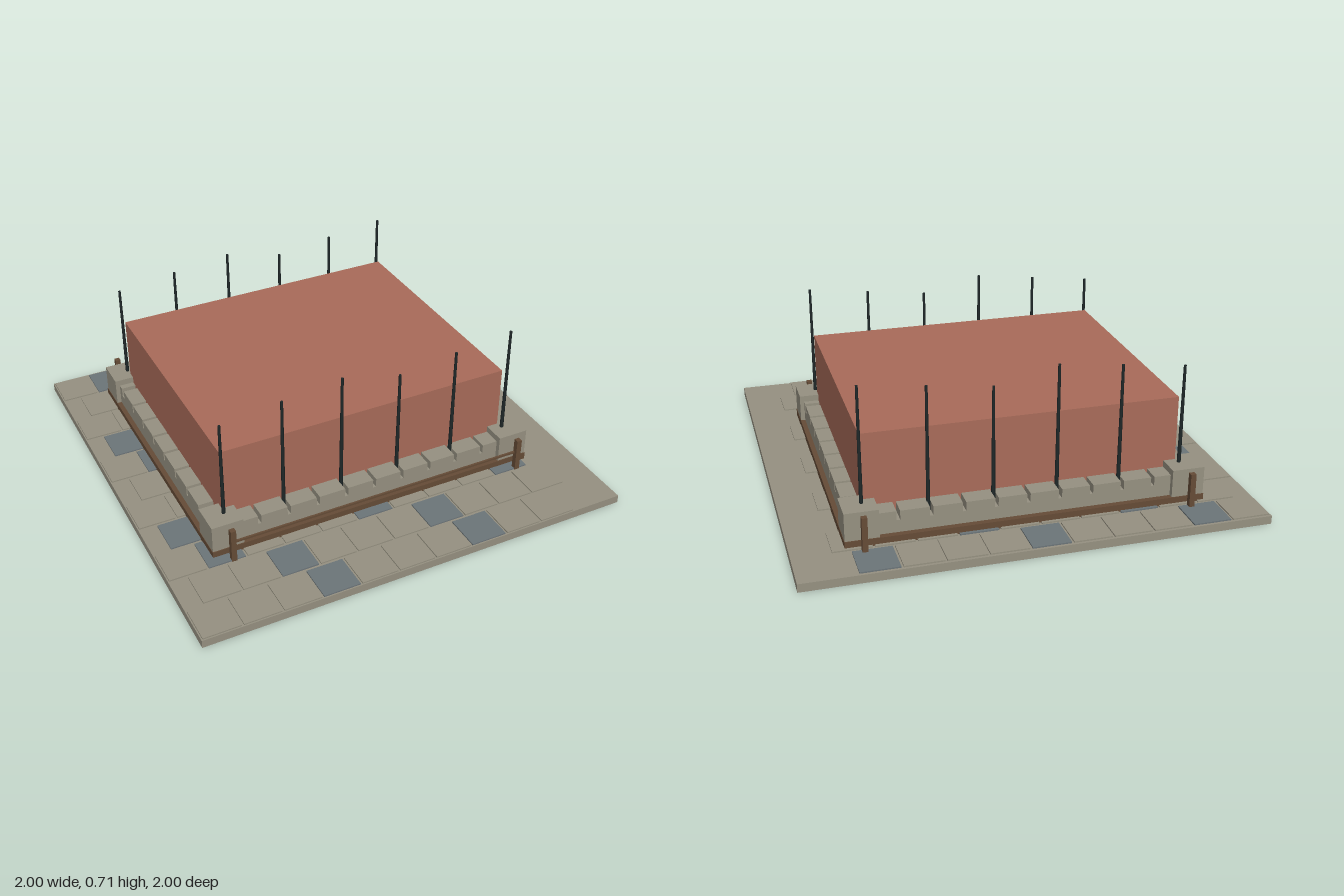
import * as THREE from 'three';

const paint = (name, color) => {
  const m = new THREE.MeshStandardMaterial({ color });
  m.name = name;
  return m;
};

export function createModel() {
  const stone = paint('stone', 0x979282);
  const slate = paint('blue slate', 0x6d767a);
  const brick = paint('red clay', 0xaa6c5a);
  const wood = paint('dark wood', 0x664c37);
  const iron = paint('black iron', 0x1f2829);

  const model = new THREE.Group();
  model.name = 'courtyardEnclosure';
  const group = (name) => {
    const g = new THREE.Group();
    g.name = name;
    model.add(g);
    return g;
  };
  // Box given by its limits on each axis
  const box = (parent, name, mat, [x0, x1], [y0, y1], [z0, z1]) => {
    const mesh = new THREE.Mesh(new THREE.BoxGeometry(x1 - x0, y1 - y0, z1 - z0), mat);
    mesh.position.set((x0 + x1) / 2, (y0 + y1) / 2, (z0 + z1) / 2);
    mesh.name = name;
    parent.add(mesh);
  };

  const GROUND = 0.037, CZ = -0.105; // slab top, centre of the enclosure in z
  box(model, 'groundSlab', stone, [-1, 1], [0, GROUND], [-1, 1]);

  // Paving in staggered rows, every fourth stone is slate
  const paving = group('paving');
  for (let row = 0; row < 11; row++) {
    for (let col = 0; col < 10; col++) {
      const x = (row % 2 ? -0.917 : -0.994) + col * 0.176;
      const z = -0.988 + row * 0.1816;
      const blue = col % 4 === (row + 1) % 4;
      box(paving, blue ? 'slatePaver' : 'stonePaver', blue ? slate : stone,
        [x, x + 0.166], [GROUND - 0.005, GROUND + 0.006], [z, z + 0.166]);
    }
  }

  // Large clay block in the middle
  box(model, 'clayBlock', brick, [-0.688, 0.688], [GROUND, 0.487], [CZ - 0.578, CZ + 0.578]);

  const sills = group('timberSills');
  const walls = group('lowWalls');
  const corners = group('cornerBlocks');
  const posts = group('posts');
  const rods = group('ironRods');

  for (const s of [-1, 1]) {
    const span = (a, b, c = 0) => (s > 0 ? [c + a, c + b] : [c - b, c - a]);

    // Timber sills below the walls
    box(sills, 'longSill', wood, [-0.78, 0.78], [GROUND, 0.07], span(0.58, 0.688, CZ));
    box(sills, 'sideSill', wood, span(0.69, 0.78), [GROUND, 0.07], [CZ - 0.58, CZ + 0.58]);

    // Wall courses with separate capping stones
    box(walls, 'longCourse', stone, [-0.64, 0.64], [0.07, 0.125], span(0.57, 0.662, CZ));
    box(walls, 'sideCourse', stone, span(0.68, 0.758), [0.07, 0.125], [CZ - 0.545, CZ + 0.545]);
    for (let i = 0; i < 10; i++) {
      const x = (i - 4.5) * 0.138;
      box(walls, 'longCap', stone, [x - 0.0615, x + 0.0615], [0.125, 0.166], span(0.579, 0.662, CZ));
    }
    for (let i = 0; i < 9; i++) {
      const z = CZ + (i - 4) * 0.14;
      const h = i % 8 ? 0.0625 : 0.05;
      box(walls, 'sideCap', stone, span(0.689, 0.758), [0.125, 0.166], [z - h, z + h]);
    }

    for (const t of [-1, 1]) {
      const z = t > 0 ? [CZ + 0.54, CZ + 0.684] : [CZ - 0.684, CZ - 0.54];
      box(corners, 'cornerBlock', stone, span(0.634, 0.778), [0.07, 0.195], z);
      const pz = CZ + t * 0.728;
      box(posts, 'post', wood, span(0.692, 0.716), [GROUND, 0.195], [pz - 0.012, pz + 0.012]);
    }

    // Tapered rods in three repeating heights
    for (let i = 0; i < 6; i++) {
      const bottom = 0.12, top = [0.643, 0.676, 0.708][i % 3];
      const rod = new THREE.Mesh(new THREE.CylinderGeometry(0.006, 0.009, top - bottom, 6), iron);
      rod.position.set((i - 2.5) * 0.277, (top + bottom) / 2, CZ + s * 0.608);
      rod.name = 'ironRod';
      rods.add(rod);
    }
  }

  // Thin rail between the front posts
  box(model, 'frontRail', wood, [-0.7, 0.7], [0.122, 0.131], [0.613, 0.622]);

  return model;
}
